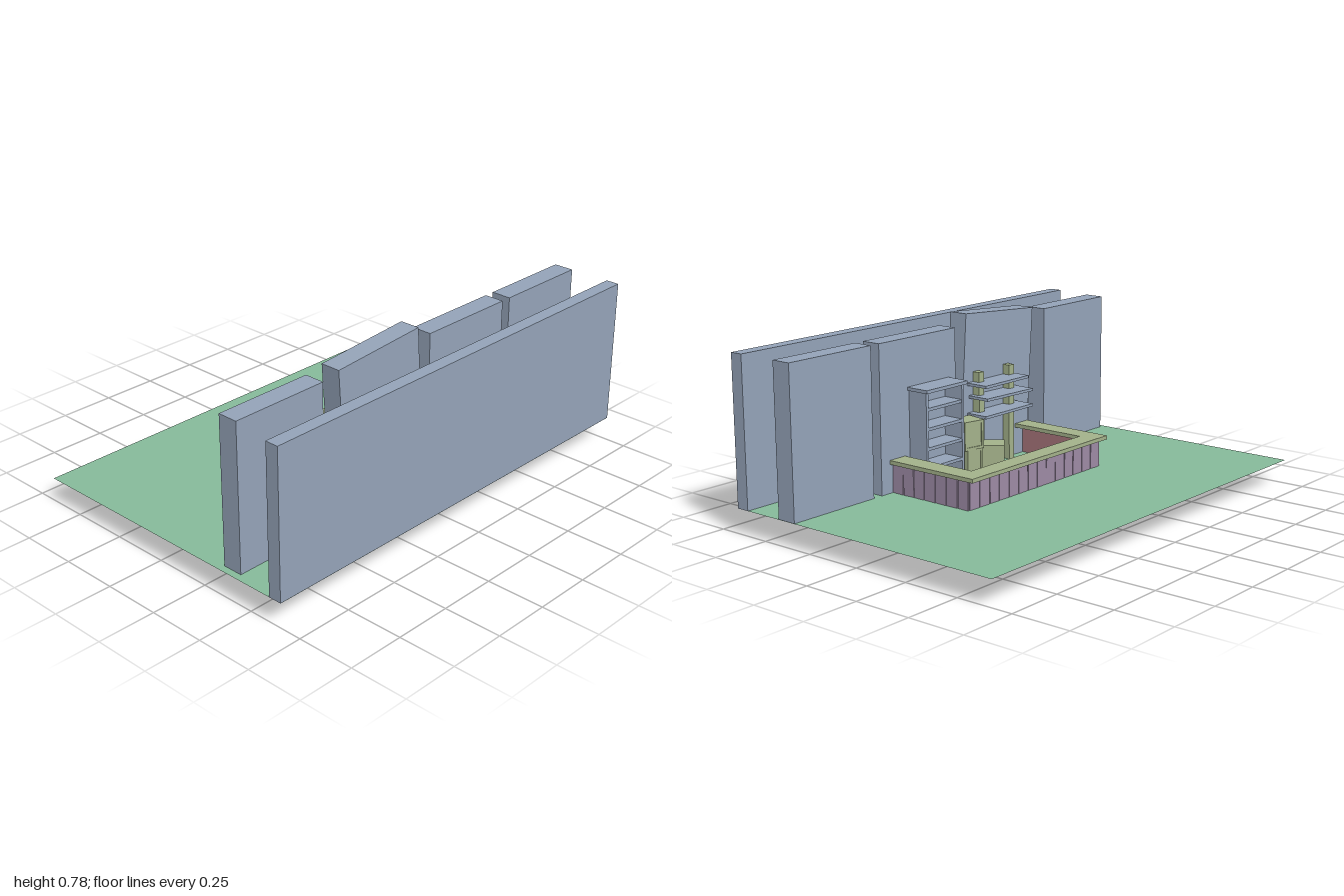
import * as THREE from 'three';

const mat = (name, color, side = THREE.FrontSide) => {
  const m = new THREE.MeshStandardMaterial({ color, side });
  m.name = name;
  return m;
};

export function createModel() {
  const model = new THREE.Group();
  model.name = 'marketStall';
  const slate = mat('slateGrey', 0x94a3b8);
  const grass = mat('grassGreen', 0x86ba9a, THREE.DoubleSide);
  const sage = mat('sageWood', 0xa3b18a);
  const mauve = mat('mauvePlank', 0x9d8ba5);
  const red = mat('dustyRed', 0xa5747a);
  const FLOOR = 0.11;

  // Box given by its minimum and maximum corners
  const box = (parent, name, material, [x0, y0, z0], [x1, y1, z1]) => {
    const mesh = new THREE.Mesh(new THREE.BoxGeometry(x1 - x0, y1 - y0, z1 - z0), material);
    mesh.position.set((x0 + x1) / 2, (y0 + y1) / 2, (z0 + z1) / 2);
    mesh.name = name;
    parent.add(mesh);
    return mesh;
  };
  const group = (name) => {
    const g = new THREE.Group();
    g.name = name;
    model.add(g);
    return g;
  };
  let seed = 7;
  const rand = () => (seed = (seed * 16807) % 2147483647) / 2147483647;

  // Ground sheet
  const ground = new THREE.Mesh(new THREE.PlaneGeometry(2, 1.315), grass);
  ground.rotation.x = -Math.PI / 2;
  ground.position.set(0, FLOOR, -0.002);
  ground.name = 'ground';
  model.add(ground);

  // Long wall and the row of slabs behind it
  const walls = group('walls');
  box(walls, 'longWall', slate, [-1, FLOOR, 0.597], [1, 0.74, 0.655]);
  for (const [x0, x1] of [[-0.97, -0.535], [0.065, 0.52], [0.565, 1]])
    box(walls, 'wallSlab', slate, [x0, FLOOR + 0.001, 0.33], [x1, 0.74, 0.418]);
  box(walls, 'leaningSlab', slate, [-0.426, 0.02, 0.33], [0.021, 0.774, 0.418]).rotation.z = 0.07;

  // U-shaped counter top
  const counter = group('counter');
  const TOP0 = 0.233, TOP1 = 0.25;
  const rim = new THREE.Shape();
  [[-0.415, 0.113], [0.47, 0.113], [0.47, -0.33], [0.38, -0.33], [0.38, 0.03], [-0.33, 0.03], [-0.33, -0.33], [-0.415, -0.33]]
    .forEach(([x, y], i) => (i ? rim.lineTo(x, y) : rim.moveTo(x, y)));
  const top = new THREE.Mesh(new THREE.ExtrudeGeometry(rim, { depth: TOP1 - TOP0, bevelEnabled: false }), sage);
  top.rotation.x = -Math.PI / 2;
  top.position.y = TOP0;
  top.name = 'counterTop';
  counter.add(top);

  // Inner walls of the counter
  box(counter, 'counterBackCore', red, [-0.395, FLOOR, -0.07], [0.445, TOP0, -0.058]);
  box(counter, 'counterLeftCore', red, [0.433, FLOOR, -0.058], [0.445, TOP0, 0.33]);
  box(counter, 'counterRightCore', red, [-0.395, FLOOR, -0.058], [-0.383, TOP0, 0.33]);

  // Uneven planks along each outer face
  const planks = (from, to, count, place) => {
    const step = (to - from) / count;
    for (let i = 0; i < count; i++) {
      const w = step * (0.88 + 0.1 * rand());
      const mesh = new THREE.Mesh(new THREE.BoxGeometry(w, TOP0 - FLOOR - 0.002, 0.012), mauve);
      mesh.name = 'counterPlank';
      place(mesh, from + step * (i + 0.5));
      mesh.rotation.z = (rand() - 0.5) * 0.06;
      counter.add(mesh);
    }
  };
  const midY = (FLOOR + TOP0) / 2;
  planks(-0.4, 0.45, 14, (m, t) => m.position.set(t, midY, -0.075));
  for (const x of [-0.4, 0.45])
    planks(-0.08, 0.33, 7, (m, t) => {
      m.position.set(x, midY, t);
      m.rotation.y = Math.PI / 2;
    });

  // Bookcase with open shelves
  const bookcase = group('bookcase');
  for (const x of [0.12, 0.338])
    box(bookcase, 'bookcaseSide', slate, [x, FLOOR, 0.235], [x + 0.013, 0.522, 0.455]);
  for (let i = 0; i < 5; i++) {
    const y = FLOOR + 0.002 + i * 0.083;
    box(bookcase, 'bookcaseShelf', slate, [0.132, y, 0.236], [0.339, y + 0.013, 0.455]);
  }
  box(bookcase, 'bookcaseTop', slate, [0.11, 0.522, 0.222], [0.36, 0.536, 0.458]);

  // Shelf rack: boards threaded on two posts
  const rack = group('shelfRack');
  for (const x of [-0.28, -0.08])
    box(rack, 'rackPost', sage, [x, FLOOR, 0.295], [x + 0.033, 0.533, 0.335]);
  [[-0.295, -0.01, 0.478, 0], [-0.325, -0.02, 0.418, 0.02], [-0.325, -0.01, 0.346, 0]].forEach(([x0, x1, y, tilt]) => {
    box(rack, 'rackBoard', slate, [x0, y, 0.225], [x1, y + 0.012, 0.455]).rotation.z = tilt;
  });

  // Framed wooden crates
  const crate = (x, y, z, s, h, turn) => {
    const g = group('crate');
    g.position.set(x, y, z);
    g.rotation.y = turn;
    const r = s / 2, t = 0.012, n = 0.004;
    box(g, 'crateBody', sage, [-r + n, n, -r + n], [r - n, h - n, r - n]);
    for (const sx of [-1, 1]) {
      for (const sz of [-1, 1]) {
        const cx = sx * (r - t / 2), cz = sz * (r - t / 2);
        box(g, 'cratePost', sage, [cx - t / 2, t, cz - t / 2], [cx + t / 2, h - t, cz + t / 2]);
      }
    }
    box(g, 'crateBase', sage, [-r, 0, -r], [r, t, r]);
    box(g, 'crateLid', sage, [-r, h - t, -r], [r, h, r]);
  };
  crate(0.06, FLOOR + 0.001, 0.27, 0.092, 0.12, -0.05);
  crate(0.06, FLOOR + 0.121, 0.27, 0.1, 0.124, -0.2);
  crate(-0.068, FLOOR + 0.001, 0.24, 0.104, 0.12, 0.7);

  return model;
}
